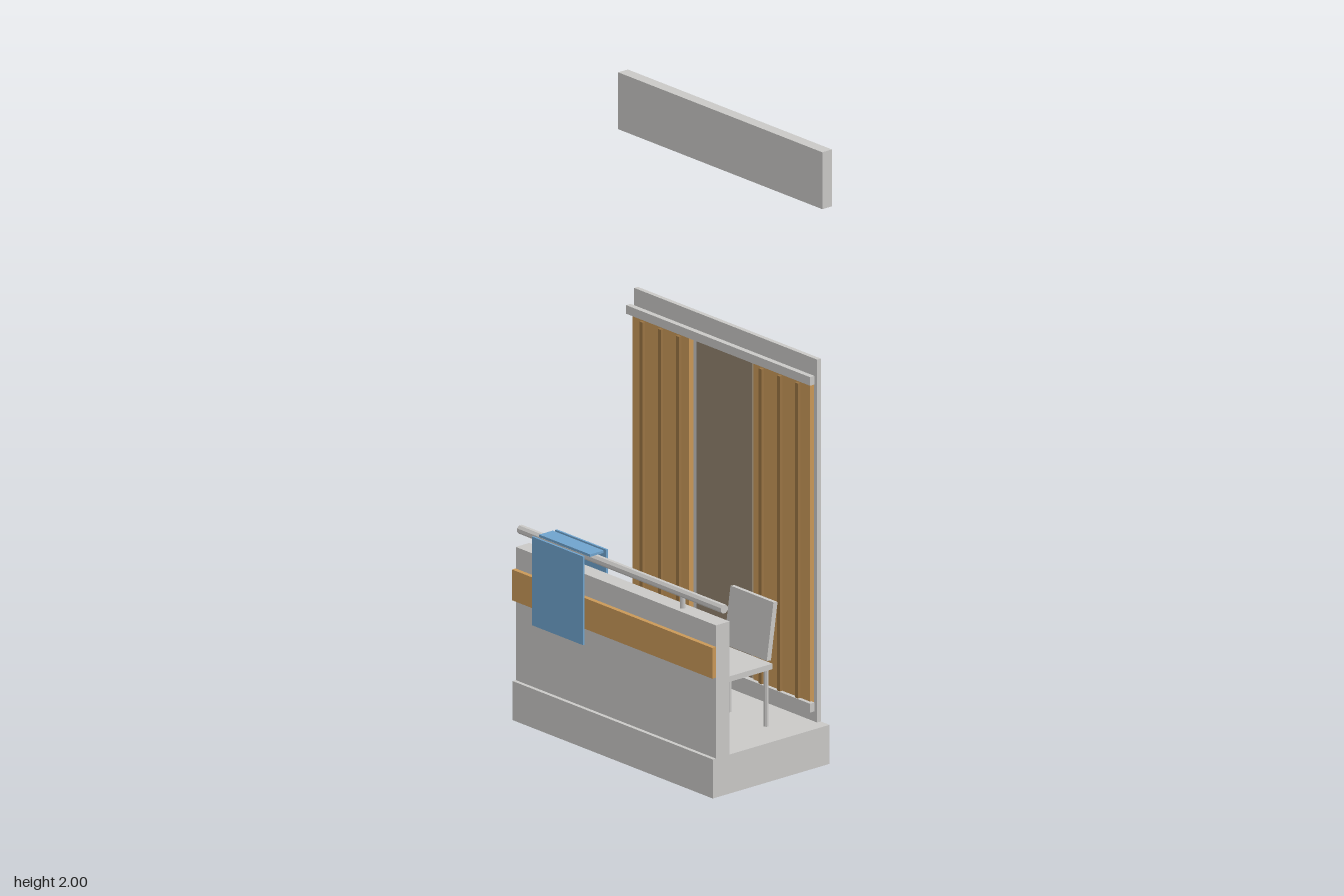
import * as THREE from 'three';

const makeMaterial = (name, color) => {
  const m = new THREE.MeshStandardMaterial({ color });
  m.name = name;
  return m;
};

export function createModel() {
  const concrete = makeMaterial('concrete', 0xc9c8c6);
  const wood = makeMaterial('wood', 0xc99858);
  const darkWood = makeMaterial('darkWood', 0x9a7443);
  const doorway = makeMaterial('doorway', 0x92836e);
  const cloth = makeMaterial('cloth', 0x6fa3cd);

  const model = new THREE.Group();
  model.name = 'balcony';

  // Box given by its extents on each axis
  const box = (name, material, [x0, x1], [y0, y1], [z0, z1], parent = model) => {
    const mesh = new THREE.Mesh(new THREE.BoxGeometry(x1 - x0, y1 - y0, z1 - z0), material);
    mesh.position.set((x0 + x1) / 2, (y0 + y1) / 2, (z0 + z1) / 2);
    mesh.name = name;
    parent.add(mesh);
    return mesh;
  };

  // Eight-sided rod with flat sides facing the axes
  const rod = (name, radius, length, x, y, z, parent = model) => {
    const geometry = new THREE.CylinderGeometry(radius, radius, length, 8).toNonIndexed();
    geometry.rotateY(Math.PI / 8);
    geometry.computeVertexNormals();
    const mesh = new THREE.Mesh(geometry, concrete);
    mesh.position.set(x, y, z);
    mesh.name = name;
    parent.add(mesh);
    return mesh;
  };

  // Floor, parapet, walls
  box('floorSlab', concrete, [-0.466, 0.466], [0, 0.127], [-0.245, 0.228]);
  box('parapet', concrete, [-0.466, 0.466], [0.127, 0.56], [0.16, 0.215]);
  box('parapetBand', wood, [-0.466, 0.466], [0.39, 0.49], [0.215, 0.23]);
  box('backWall', concrete, [-0.426, 0.426], [0.127, 1.307], [-0.245, -0.23]);
  box('upperFascia', concrete, [-0.475, 0.475], [1.815, 2], [-0.247, -0.208]);

  // Doorway and sliding shutters on two tracks
  box('doorPanel', doorway, [-0.13, 0.13], [0.17, 1.24], [-0.23, -0.224]);
  box('topTrack', concrete, [-0.428, 0.428], [1.23, 1.258], [-0.217, -0.199]);
  box('bottomTrack', concrete, [-0.428, 0.428], [0.167, 0.196], [-0.217, -0.199]);
  for (const side of [-1, 1]) {
    const shutter = new THREE.Group();
    shutter.name = side > 0 ? 'leftShutter' : 'rightShutter';
    model.add(shutter);
    const panel = box('shutterPanel', wood, [-0.132, 0.132], [0.165, 1.25], [-0.229, -0.212], shutter);
    panel.position.x = side * 0.281;
    for (const offset of [0.193, 0.277, 0.361]) {
      const slat = box('shutterSlat', darkWood, [-0.007, 0.007], [0.196, 1.22], [-0.212, -0.202], shutter);
      slat.position.x = side * offset;
    }
  }

  // Handrail with two supports
  rod('handrail', 0.0145, 0.95, 0, 0.609, 0.1885).rotation.z = Math.PI / 2;
  for (const x of [-0.28, 0.28]) rod('handrailSupport', 0.009, 0.05, x, 0.58, 0.1885);

  // Towel: front drop, top fold and back drop
  const towelX = [-0.357, -0.12];
  box('towelFront', cloth, towelX, [0.342, 0.63], [0.237, 0.244]);
  box('towelTop', cloth, towelX, [0.622, 0.63], [0.16, 0.215]);
  box('towelBack', cloth, towelX, [0.466, 0.63], [0.143, 0.15]);

  // Chair
  const chair = new THREE.Group();
  chair.name = 'chair';
  model.add(chair);
  box('seat', concrete, [0.16, 0.36], [0.312, 0.33], [-0.106, 0.09], chair);
  box('backrest', concrete, [0.16, 0.36], [0.342, 0.528], [-0.1135, -0.0965], chair).rotation.x = -0.145;
  for (const x of [0.174, 0.346]) {
    for (const z of [-0.092, 0.077]) rod('chairLeg', 0.008, 0.186, x, 0.219, z, chair);
  }

  return model;
}
